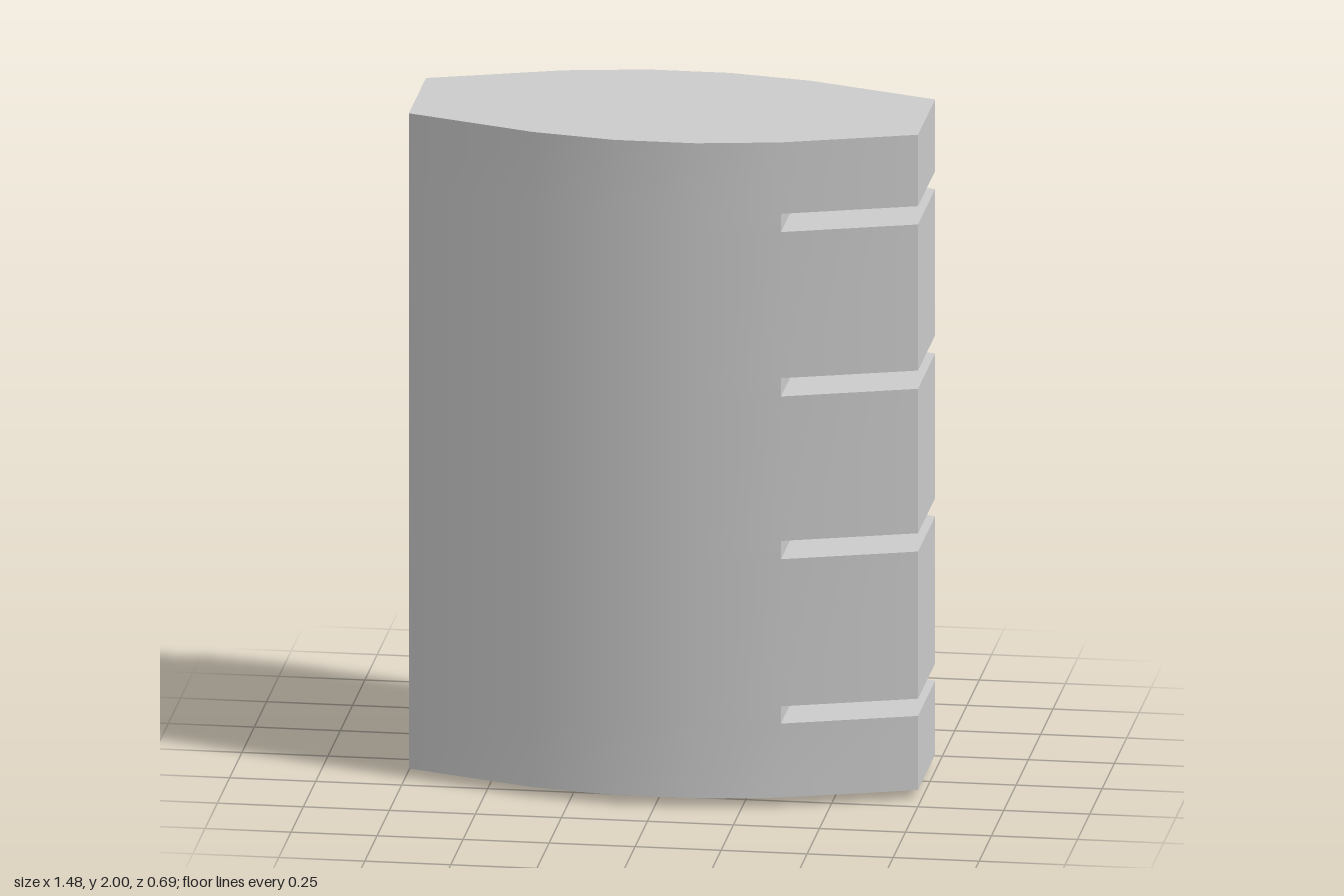
import * as THREE from 'three';
import { toCreasedNormals } from 'three/addons/utils/BufferGeometryUtils.js';

// Half depth of the faceted, bulging plan at each x station
const xs = [-0.74, -0.36, -0.12, 0.12, 0.36, 0.74];
const depth = [0.174, 0.304, 0.347, 0.347, 0.304, 0.174];
// Heights: body bottom, then bottom and top of each slot, then body top
const ys = [0.027, 0.25, 0.302, 0.745, 0.8, 1.235, 1.29, 1.73, 1.785, 2];

function bodyGeometry() {
  const pos = [];
  const quad = (a, b, c, d) => pos.push(...a, ...b, ...c, ...a, ...c, ...d);
  const columns = xs.length - 1, rows = ys.length - 1;
  // The last column is cut away at every odd row to leave the slots
  const solid = (i, j) => i >= 0 && i < columns && j >= 0 && j < rows && !(i === columns - 1 && j % 2);
  const point = (i, j, side) => [xs[i], ys[j], side * depth[i]];

  for (let i = 0; i < columns; i++) {
    for (let j = 0; j < rows; j++) {
      if (!solid(i, j)) continue;
      const p = (di, dj, side) => point(i + di, j + dj, side);
      quad(p(0, 0, 1), p(1, 0, 1), p(1, 1, 1), p(0, 1, 1)); // front
      quad(p(1, 0, -1), p(0, 0, -1), p(0, 1, -1), p(1, 1, -1)); // back
      if (!solid(i, j + 1)) quad(p(0, 1, 1), p(1, 1, 1), p(1, 1, -1), p(0, 1, -1)); // up
      if (!solid(i, j - 1)) quad(p(0, 0, -1), p(1, 0, -1), p(1, 0, 1), p(0, 0, 1)); // down
      if (!solid(i + 1, j)) quad(p(1, 0, 1), p(1, 0, -1), p(1, 1, -1), p(1, 1, 1)); // +x end
      if (!solid(i - 1, j)) quad(p(0, 0, -1), p(0, 0, 1), p(0, 1, 1), p(0, 1, -1)); // -x end
    }
  }
  const geometry = new THREE.BufferGeometry();
  geometry.setAttribute('position', new THREE.Float32BufferAttribute(pos, 3));
  return toCreasedNormals(geometry, Math.PI / 6);
}

export function createModel() {
  const model = new THREE.Group();
  model.name = 'slottedBlock';
  const material = new THREE.MeshStandardMaterial({ color: 0xcccccc });

  // Tall block with four slots in one edge
  const body = new THREE.Mesh(bodyGeometry(), material);
  body.name = 'slottedBody';
  model.add(body);

  // Small round button under the uncut edge, with a bevelled rim
  const profile = [[0, 0], [0.092, 0], [0.098, 0.006], [0.098, 0.027]].map(([r, y]) => new THREE.Vector2(r, y));
  const button = new THREE.Mesh(toCreasedNormals(new THREE.LatheGeometry(profile, 32), Math.PI / 6), material);
  button.name = 'bottomButton';
  button.position.x = -0.543;
  model.add(button);

  return model;
}
